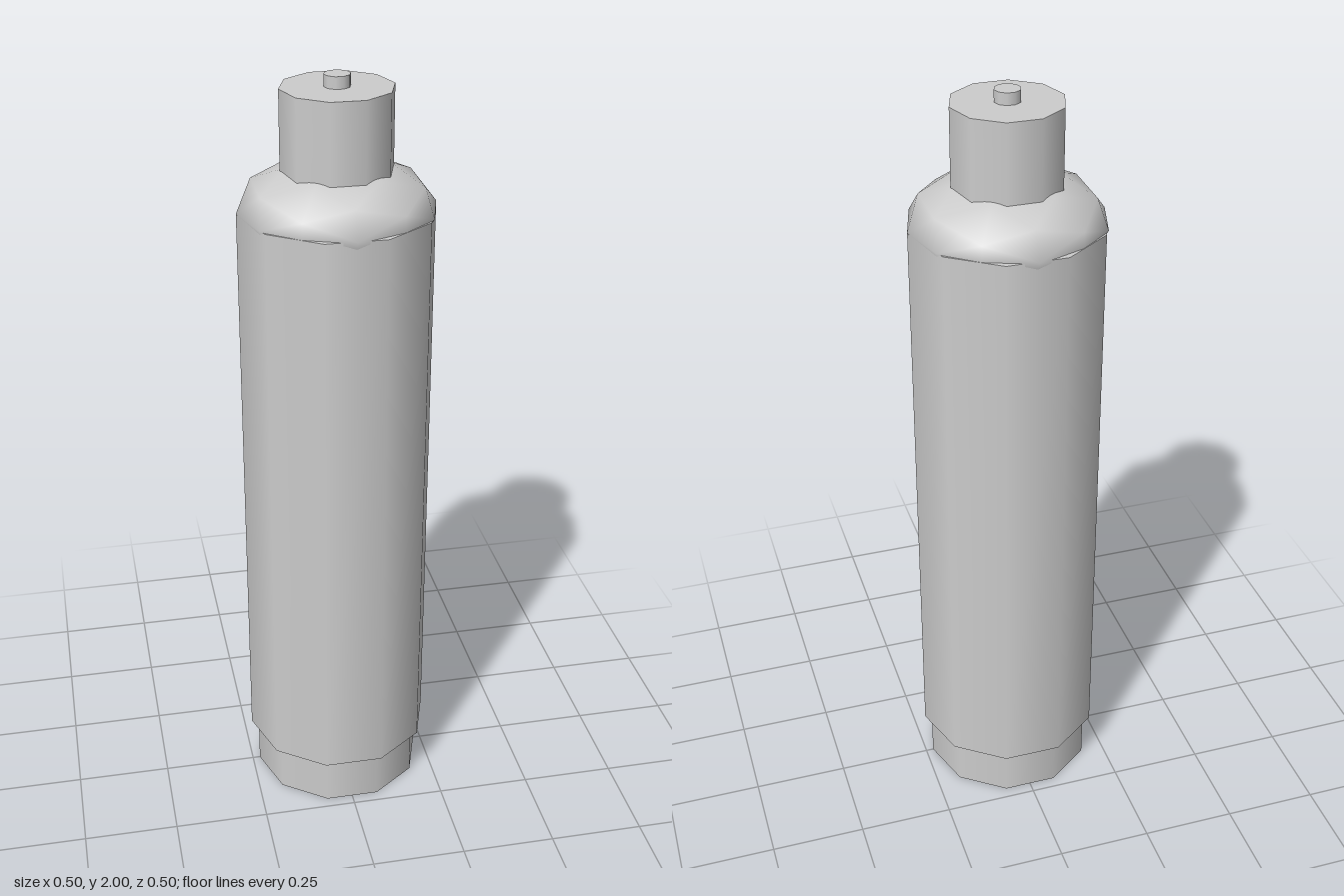
import * as THREE from 'three';

export function createModel() {
  const group = new THREE.Group();
  const lightGrey = new THREE.MeshStandardMaterial({ color: 0xcccccc });

  // Closed ten-sided smooth cylinder with corners on the x axis
  function addCylinder(name, radius, bottom, top) {
    const geometry = new THREE.CylinderGeometry(radius, radius, top - bottom, 10, 1, false, Math.PI / 2);
    geometry.translate(0, (bottom + top) / 2, 0);
    const mesh = new THREE.Mesh(geometry, lightGrey);
    mesh.name = name;
    group.add(mesh);
  }

  addCylinder('base', 0.23, 0, 0.16);
  addCylinder('body', 0.25, 0.135, 1.668);
  addCylinder('neck', 0.141, 1.7, 1.97);
  addCylinder('nozzle', 0.033, 1.95, 2);

  // Shoulder: a coarse ball flattened to half height
  const dome = new THREE.IcosahedronGeometry(0.25, 1);
  dome.scale(1, 0.5, 1);
  dome.translate(0, 1.67, 0);
  const shoulder = new THREE.Mesh(dome, lightGrey);
  shoulder.name = 'shoulder';
  group.add(shoulder);

  return group;
}
